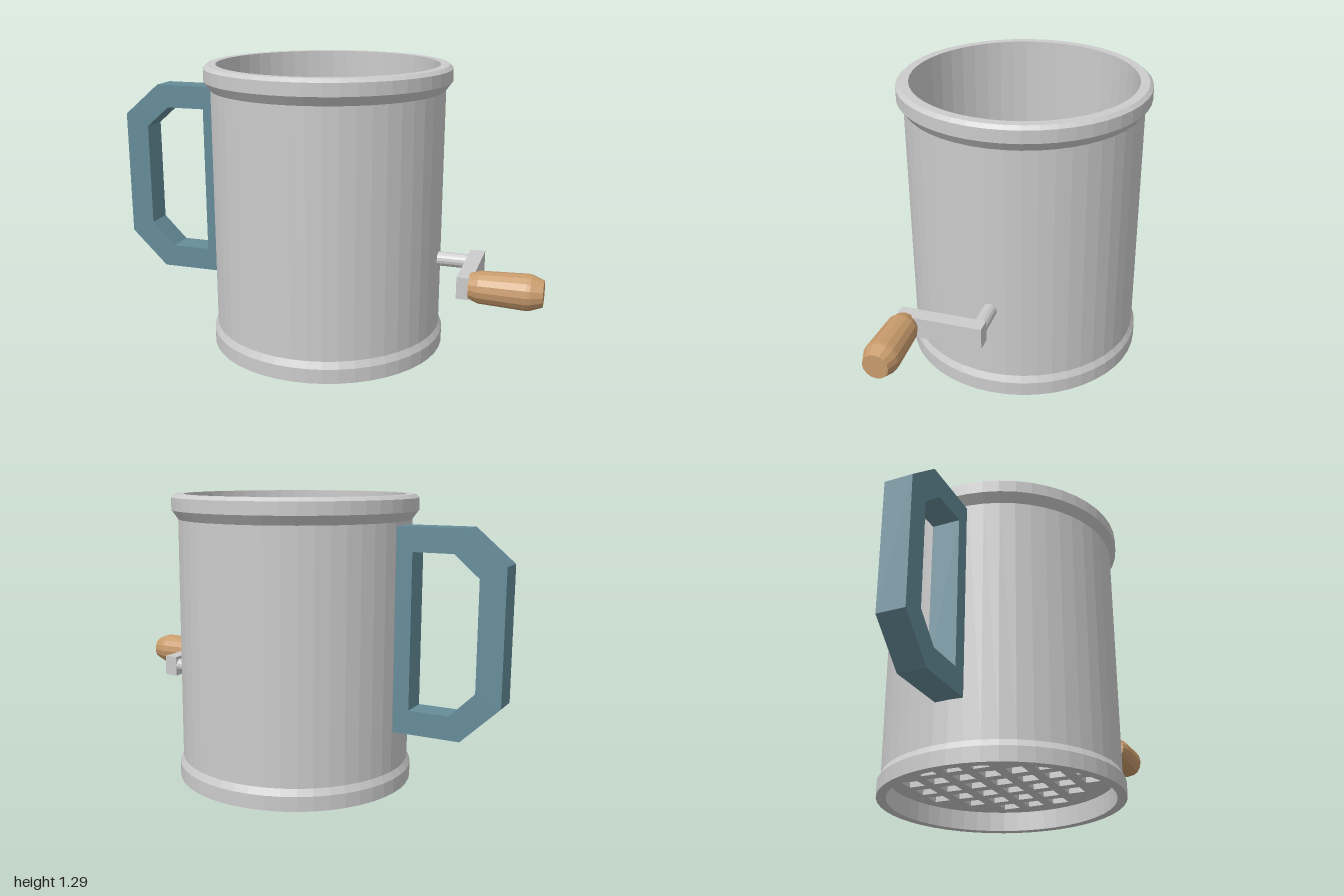
import * as THREE from 'three';

const mat = (color) => new THREE.MeshStandardMaterial({ color, flatShading: true });
const shapeFrom = (pts) => new THREE.Shape(pts.map(([x, y]) => new THREE.Vector2(x, y)));
const lathe = (pts, sides) =>
  new THREE.LatheGeometry(pts.map(([r, y]) => new THREE.Vector2(r, y)), sides);

export function createModel() {
  const model = new THREE.Group();
  model.name = 'handSifter';
  const grey = mat(0xcccccc), teal = mat(0x658c99), wood = mat(0xc89b6c);
  const CX = -0.01, CZ = -0.005, SHAFT_Y = 0.43;

  const add = (name, geometry, material, x = 0, y = 0, z = 0, parent = model) => {
    const mesh = new THREE.Mesh(geometry, material);
    mesh.name = name;
    mesh.position.set(x, y, z);
    parent.add(mesh);
    return mesh;
  };

  // Can wall: outer side going up, rim, inner side going down
  add('can', lathe([
    [0.495, 0], [0.537, 0], [0.537, 0.065], [0.522, 0.095], [0.522, 1.18],
    [0.551, 1.22], [0.551, 1.275], [0.535, 1.29], [0.495, 1.29], [0.495, 0],
  ], 48), grey, CX, 0, CZ);

  // Sieve plate with a round grid of square holes
  const plate = new THREE.Shape().absarc(0, 0, 0.5, 0, Math.PI * 2);
  const pitch = 0.123, h = 0.0375;
  for (let i = -3; i <= 3; i++) {
    for (let j = -3; j <= 3; j++) {
      if (i * i + j * j > 10) continue;
      const x = i * pitch, y = j * pitch;
      plate.holes.push(shapeFrom([[x - h, y - h], [x - h, y + h], [x + h, y + h], [x + h, y - h]]));
    }
  }
  const plateGeo = new THREE.ExtrudeGeometry(plate, { depth: 0.025, bevelEnabled: false, curveSegments: 24 });
  plateGeo.rotateX(-Math.PI / 2);
  add('sievePlate', plateGeo, grey, CX, 0.09, CZ);

  // Side handle: chamfered loop
  const loop = shapeFrom([[-0.51, 0.275], [-0.51, 1.165], [-0.83, 1.165], [-1, 1.02], [-1, 0.44], [-0.83, 0.275]]);
  loop.holes.push(shapeFrom([[-0.6, 0.38], [-0.78, 0.38], [-0.89, 0.49], [-0.89, 0.965], [-0.78, 1.06], [-0.6, 1.06]]));
  add('sideHandle', new THREE.ExtrudeGeometry(loop, { depth: 0.124, bevelEnabled: false }), teal, 0, 0, CZ - 0.062);

  // Crank shaft through the can
  const shaft = new THREE.CylinderGeometry(0.032, 0.032, 1.18, 16).rotateZ(Math.PI / 2);
  add('crankShaft', shaft, grey, 0.09, SHAFT_Y, CZ);

  // Crank arm
  add('crankArm', new THREE.BoxGeometry(0.065, 0.094, 0.37), grey, 0.683, SHAFT_Y - 0.002, 0.147);

  // Wooden grip
  const grip = lathe([[0, 0], [0.054, 0], [0.068, 0.04], [0.076, 0.235], [0.074, 0.25], [0.055, 0.3], [0, 0.3]], 16);
  add('crankGrip', grip.rotateZ(-Math.PI / 2), wood, 0.7, SHAFT_Y, 0.297);

  // Agitator wire: straight rods joined by balls, tilted down behind the shaft
  const agitator = new THREE.Group();
  agitator.name = 'agitator';
  agitator.position.set(CX, SHAFT_Y, CZ);
  agitator.rotation.x = -0.6;
  model.add(agitator);
  const half = [[0.4, 0], [0.355, -0.245], [0.268, -0.29]];
  const wire = [...half.map(([x, z]) => [-x, z]), ...half.slice().reverse()]
    .map(([x, z]) => new THREE.Vector3(x, 0, z));
  const up = new THREE.Vector3(0, 1, 0);
  for (let i = 0; i < wire.length - 1; i++) {
    const dir = wire[i + 1].clone().sub(wire[i]);
    const mid = wire[i].clone().add(wire[i + 1]).multiplyScalar(0.5);
    const rod = add('agitatorRod', new THREE.CylinderGeometry(0.017, 0.017, dir.length(), 10), grey, mid.x, mid.y, mid.z, agitator);
    rod.quaternion.setFromUnitVectors(up, dir.normalize());
    if (i > 0) add('agitatorBend', new THREE.SphereGeometry(0.017, 10, 8), grey, wire[i].x, wire[i].y, wire[i].z, agitator);
  }

  return model;
}
